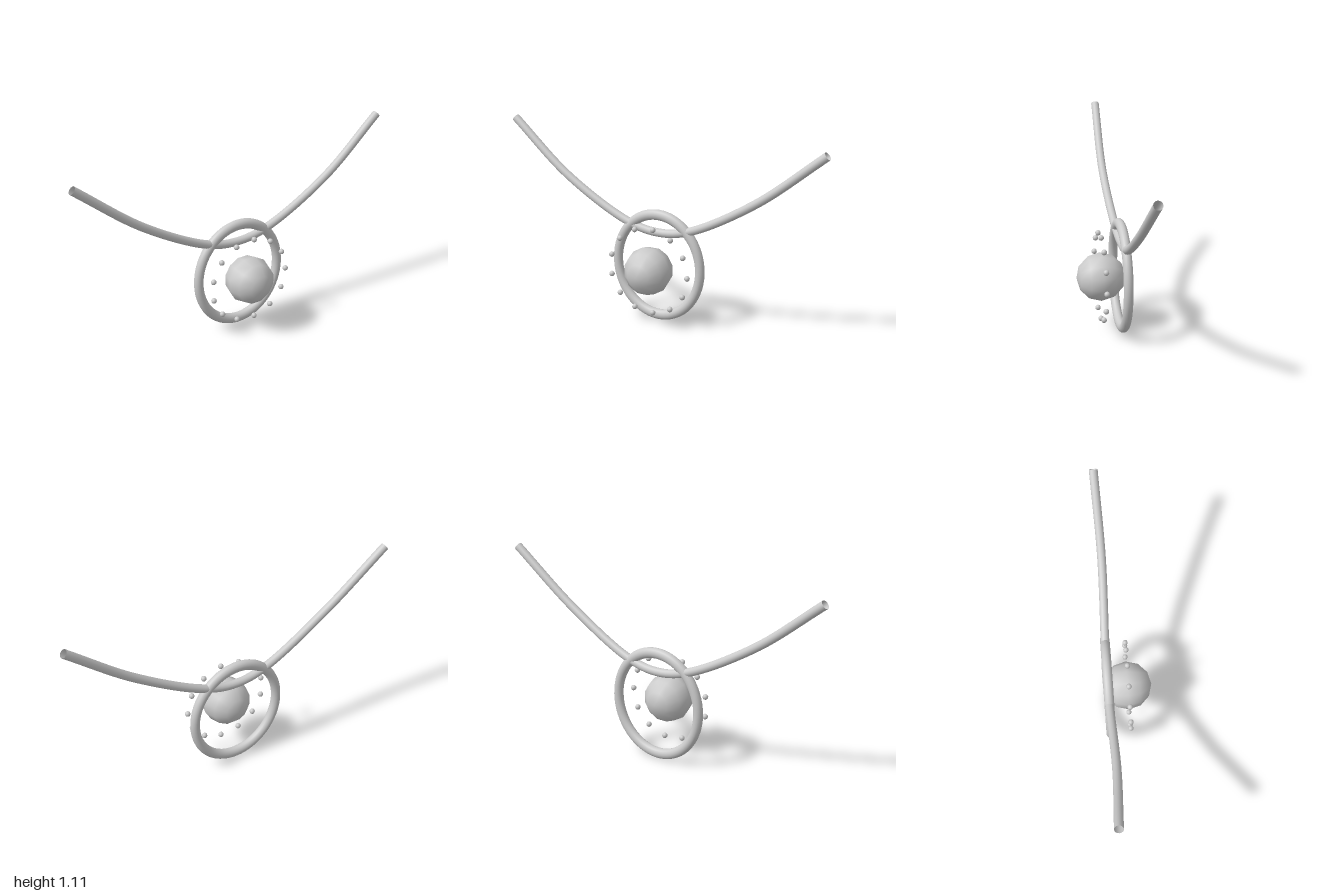
import * as THREE from 'three';

export function createModel() {
  const model = new THREE.Group();
  const material = new THREE.MeshStandardMaterial({ color: 0xcccccc });
  const openMaterial = new THREE.MeshStandardMaterial({ color: 0xcccccc, side: THREE.DoubleSide });
  const centreY = 0.336;

  const add = (name, geometry, mat = material, parent = model) => {
    const mesh = new THREE.Mesh(geometry, mat);
    mesh.name = name;
    parent.add(mesh);
    return mesh;
  };

  // Cord: open tube hanging in a mirrored curve
  const half = [[0.98, 1.094, -0.112], [0.595, 0.787, -0.099], [0.19, 0.565, -0.112]];
  const points = [
    ...half.map(([x, y, z]) => new THREE.Vector3(-x, y, z)),
    new THREE.Vector3(0, 0.53, -0.117),
    ...half.map(([x, y, z]) => new THREE.Vector3(x, y, z)).reverse(),
  ];
  add('cord', new THREE.TubeGeometry(new THREE.CatmullRomCurve3(points), 64, 0.024, 16), openMaterial);

  // Oval ring of the pendant
  const ring = add('pendantRing', new THREE.TorusGeometry(0.268, 0.027, 16, 64));
  ring.scale.y = 1.12;
  ring.position.set(0, centreY, -0.112);

  // Low-sided central stone, poles facing front and back
  const stone = new THREE.SphereGeometry(0.139, 12, 6);
  stone.rotateX(Math.PI / 2);
  stone.rotateZ(Math.PI / 12);
  add('centreStone', stone).position.set(0, centreY, 0);

  // Circle of small beads around the stone
  const beads = new THREE.Group();
  beads.name = 'beads';
  model.add(beads);
  const beadGeometry = new THREE.SphereGeometry(0.016, 10, 8);
  const count = 13;
  for (let i = 0; i < count; i++) {
    const a = (i / count) * Math.PI * 2;
    add('bead', beadGeometry, material, beads)
      .position.set(0.248 * Math.cos(a), centreY + 0.248 * Math.sin(a), 0.003);
  }

  return model;
}
